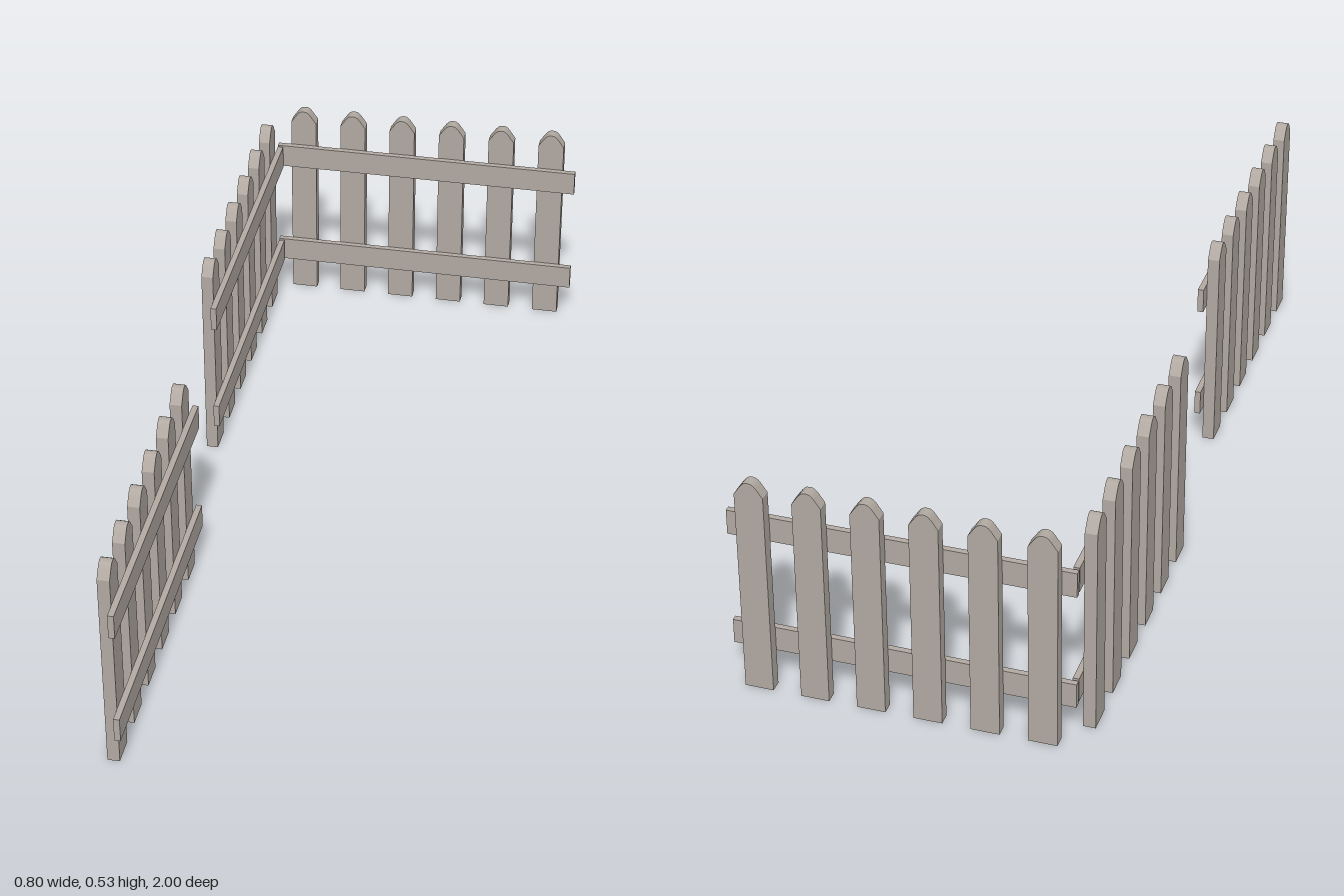
import * as THREE from 'three';

const wood = new THREE.MeshStandardMaterial({ color: 0xb2aaa2 });
wood.name = 'weathered wood';

const RAIL_LENGTH = 0.776, RAIL_HEIGHT = 0.06, RAIL_DEPTH = 0.014;
const PICKET_DEPTH = 0.028, PITCH = 0.129, COUNT = 6;

// Flat board with a rounded point, back face on z = 0
function picketGeometry() {
  const half = [[0.0325, 0], [0.0325, 0.5], [0.018, 0.521], [0.013, 0.527], [0.007, 0.531]];
  const mirrored = half.map(([x, y]) => [-x, y]).reverse();
  const outline = [...half, [0, 0.532], ...mirrored].map(([x, y]) => new THREE.Vector2(x, y));
  return new THREE.ExtrudeGeometry(new THREE.Shape(outline), { depth: PICKET_DEPTH, bevelEnabled: false });
}

// One fence section: pickets behind, two rails in front (+z)
function makePanel(name, picketGeo, railGeo) {
  const panel = new THREE.Group();
  panel.name = name;
  for (let i = 0; i < COUNT; i++) {
    const picket = new THREE.Mesh(picketGeo, wood);
    picket.name = 'picket';
    picket.position.x = (i - (COUNT - 1) / 2) * PITCH;
    panel.add(picket);
  }
  for (const [railName, y] of [['lowerRail', 0.119], ['upperRail', 0.404]]) {
    const rail = new THREE.Mesh(railGeo, wood);
    rail.name = railName;
    rail.position.set(0, y, PICKET_DEPTH + RAIL_DEPTH / 2);
    panel.add(rail);
  }
  return panel;
}

export function createModel() {
  const model = new THREE.Group();
  model.name = 'picketFence';
  const picketGeo = picketGeometry();
  const railGeo = new THREE.BoxGeometry(RAIL_LENGTH, RAIL_HEIGHT, RAIL_DEPTH);

  // Name, x, z and turn of each section
  const sections = [
    ['backSection', 0.0135, -1, 0],
    ['sideBackSection', -0.4015, -0.563, Math.PI / 2],
    ['sideFrontSection', -0.351, 0.612, Math.PI / 2],
  ];
  for (const [name, x, z, turn] of sections) {
    const panel = makePanel(name, picketGeo, railGeo);
    panel.position.set(x, 0, z);
    panel.rotation.y = turn;
    model.add(panel);
  }
  return model;
}
